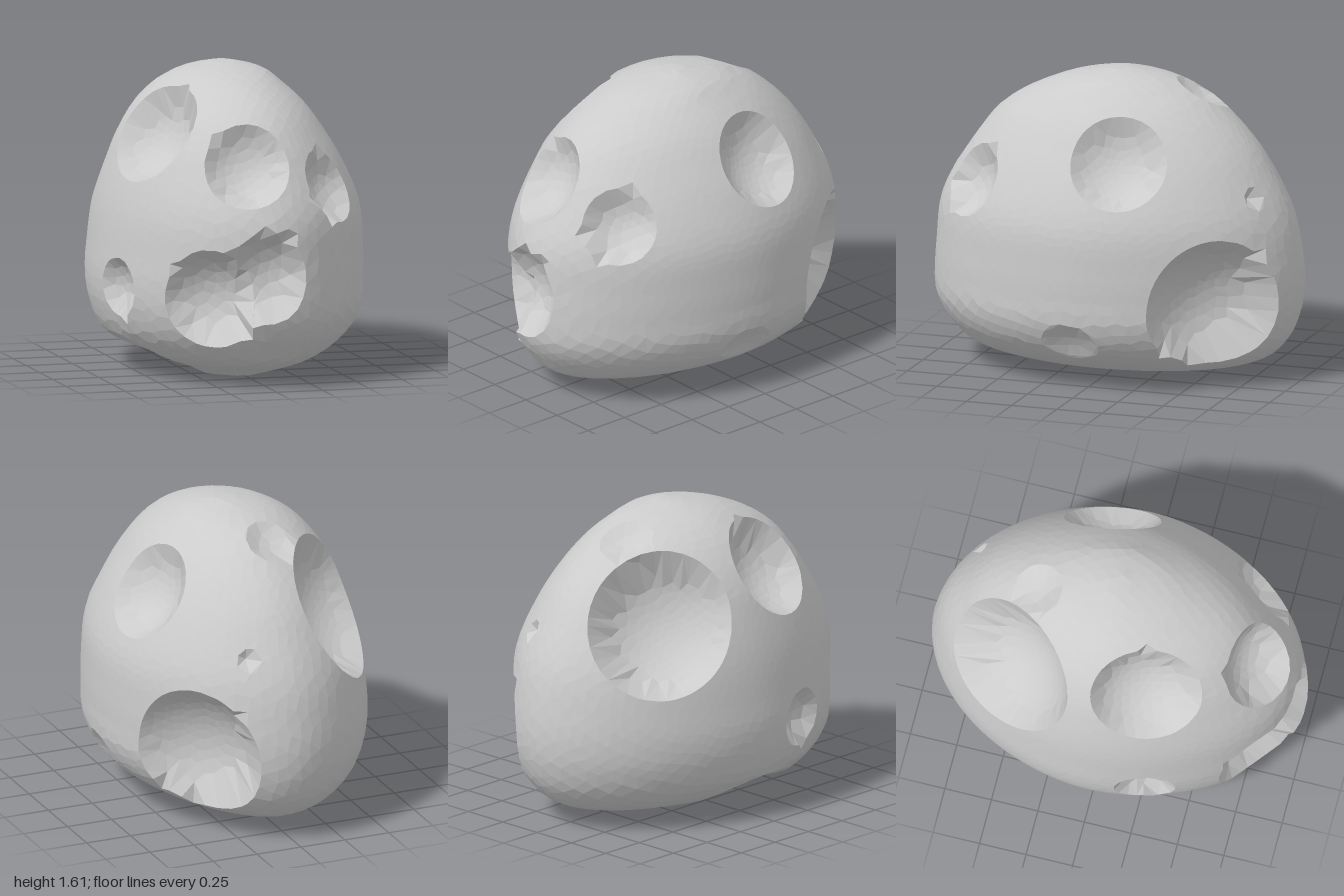
import * as THREE from 'three';

// Outline of the rock by height: y, x min, x max, z min, z max
const LEVELS = [
  [0, -0.22, 0.06, -0.3, 0.42], [0.05, -0.33, 0.3, -0.62, 0.62],
  [0.1, -0.48, 0.45, -0.79, 0.79], [0.2, -0.62, 0.61, -0.91, 0.9],
  [0.35, -0.69, 0.7, -0.98, 0.99], [0.5, -0.71, 0.71, -1, 1],
  [0.65, -0.7, 0.71, -0.99, 0.99], [0.88, -0.67, 0.69, -0.94, 0.96],
  [1.1, -0.61, 0.6, -0.83, 0.85], [1.25, -0.55, 0.51, -0.73, 0.75],
  [1.4, -0.45, 0.4, -0.58, 0.6], [1.5, -0.34, 0.29, -0.44, 0.42],
  [1.57, -0.2, 0.19, -0.26, 0.22], [1.605, -0.05, 0.06, -0.08, 0.03],
];
const TOP = LEVELS[LEVELS.length - 1][0];
const outline = new THREE.CubicInterpolant(
  LEVELS.map(l => l[0]), new Float32Array(LEVELS.flatMap(l => l.slice(1))), 4);

// Craters: x, y, z near the surface, rim radius, depth as a share of the radius
const CRATERS = [
  [-0.09, 1.165, 0.78, 0.26, 0.6],    // upper front
  [-0.33, 0.47, 0.86, 0.29, 0.65],    // lower front pair
  [-0.03, 0.6, 0.97, 0.25, 0.6],
  [0.37, 1.02, 0.66, 0.215, 0.5],     // front, left side
  [0.5, 1.21, -0.165, 0.28, 0.5],     // upper left side
  [0.49, 0.45, -0.72, 0.42, 0.55],    // large, back left
  [-0.42, 1.12, -0.49, 0.44, 0.6],    // large, back right
  [-0.45, 1.27, 0.25, 0.32, 0.6],     // upper right side
  [-0.67, 0.48, 0.3, 0.17, 0.5],      // small, right side
  [-0.09, 1.52, -0.43, 0.17, 0.3],    // scar near the top
  [0.22, 1.02, -0.85, 0.07, 0.6],     // nick at the back
  [0.64, 0.27, 0.08, 0.18, 0.2],      // scrape on the left side
  [-0.43, 0.1, 0.05, 0.36, 0.2],      // dish underneath
];

const ORIGIN = new THREE.Vector3(0, 0.75, 0);

function inside(p) {
  if (p.y <= 0 || p.y >= TOP) return false;
  const [x0, x1, z0, z1] = outline.evaluate(p.y);
  return (p.x / (p.x < 0 ? x0 : x1)) ** 1.87 + (p.z / (p.z < 0 ? z0 : z1)) ** 1.87 < 1;
}

// Point where a ray from the middle leaves the uncratered rock
function surfacePoint(dir) {
  let lo = 0, hi = 1.6;
  const p = new THREE.Vector3();
  for (let i = 0; i < 24; i++) {
    const mid = (lo + hi) / 2;
    if (inside(p.copy(ORIGIN).addScaledVector(dir, mid))) lo = mid;
    else hi = mid;
  }
  return p.copy(ORIGIN).addScaledVector(dir, lo);
}

// Each crater is a ball set partly outside the surface
function craterBall([x, y, z, rim, ratio]) {
  const dir = new THREE.Vector3(x, y, z).sub(ORIGIN).normalize();
  const depth = rim * ratio;
  const radius = (rim * rim + depth * depth) / (2 * depth);
  // local surface normal from three neighbouring points
  const side = new THREE.Vector3(-dir.z, 0, dir.x).normalize();
  const up = new THREE.Vector3().crossVectors(side, dir);
  const ring = [0, 1, 2].map(k => {
    const a = k * Math.PI * 2 / 3;
    return surfacePoint(dir.clone().addScaledVector(side, 0.2 * Math.cos(a))
      .addScaledVector(up, 0.2 * Math.sin(a)).normalize());
  });
  const normal = ring[1].sub(ring[0]).cross(ring[2].sub(ring[0])).normalize();
  if (normal.dot(dir) < 0) normal.negate();
  const center = surfacePoint(dir).addScaledVector(normal, radius - depth);
  return { center, radius };
}

// Slide a surface point along the surface onto the rim of a ball
function slideToRim(p, { center, radius }) {
  for (let k = 0; k < 4; k++) {
    p.sub(center).setLength(radius).add(center);
    p.copy(surfacePoint(p.clone().sub(ORIGIN).normalize()));
  }
}

function rockGeometry() {
  const geo = new THREE.IcosahedronGeometry(1, 15);
  const balls = CRATERS.map(craterBall);
  const pos = geo.attributes.position;
  const dir = new THREE.Vector3(), v = new THREE.Vector3();
  for (let i = 0; i < pos.count; i++) {
    dir.fromBufferAttribute(pos, i);
    // uneven facets
    const { x, y, z } = dir;
    dir.x += 0.014 * Math.sin(31 * y + 17 * z);
    dir.y += 0.014 * Math.sin(29 * z + 19 * x);
    dir.z += 0.014 * Math.sin(37 * x + 23 * y);
    const p = surfacePoint(dir.normalize());
    // pull nearby corners onto the rims so that they stay crisp
    const near = balls.find(b => Math.abs(p.distanceTo(b.center) - b.radius) < 0.03);
    if (near) slideToRim(p, near);
    // carve: move the corner back to where its ray enters a ball
    dir.subVectors(p, ORIGIN);
    const full = dir.length();
    dir.divideScalar(full);
    let r = full;
    for (const { center, radius } of balls) {
      if (p.distanceTo(center) > radius - 0.001) continue;
      v.subVectors(center, ORIGIN);
      const b = v.dot(dir);
      r = Math.min(r, b - Math.sqrt(radius * radius - v.lengthSq() + b * b));
    }
    p.copy(ORIGIN).addScaledVector(dir, r);
    pos.setXYZ(i, p.x, p.y, p.z);
  }
  geo.computeVertexNormals();
  return geo;
}

export function createModel() {
  const group = new THREE.Group();
  group.name = 'asteroid';
  const material = new THREE.MeshStandardMaterial({ color: 0xcccccc, flatShading: true });
  const rock = new THREE.Mesh(rockGeometry(), material);
  rock.name = 'crateredRock';
  group.add(rock);
  return group;
}
